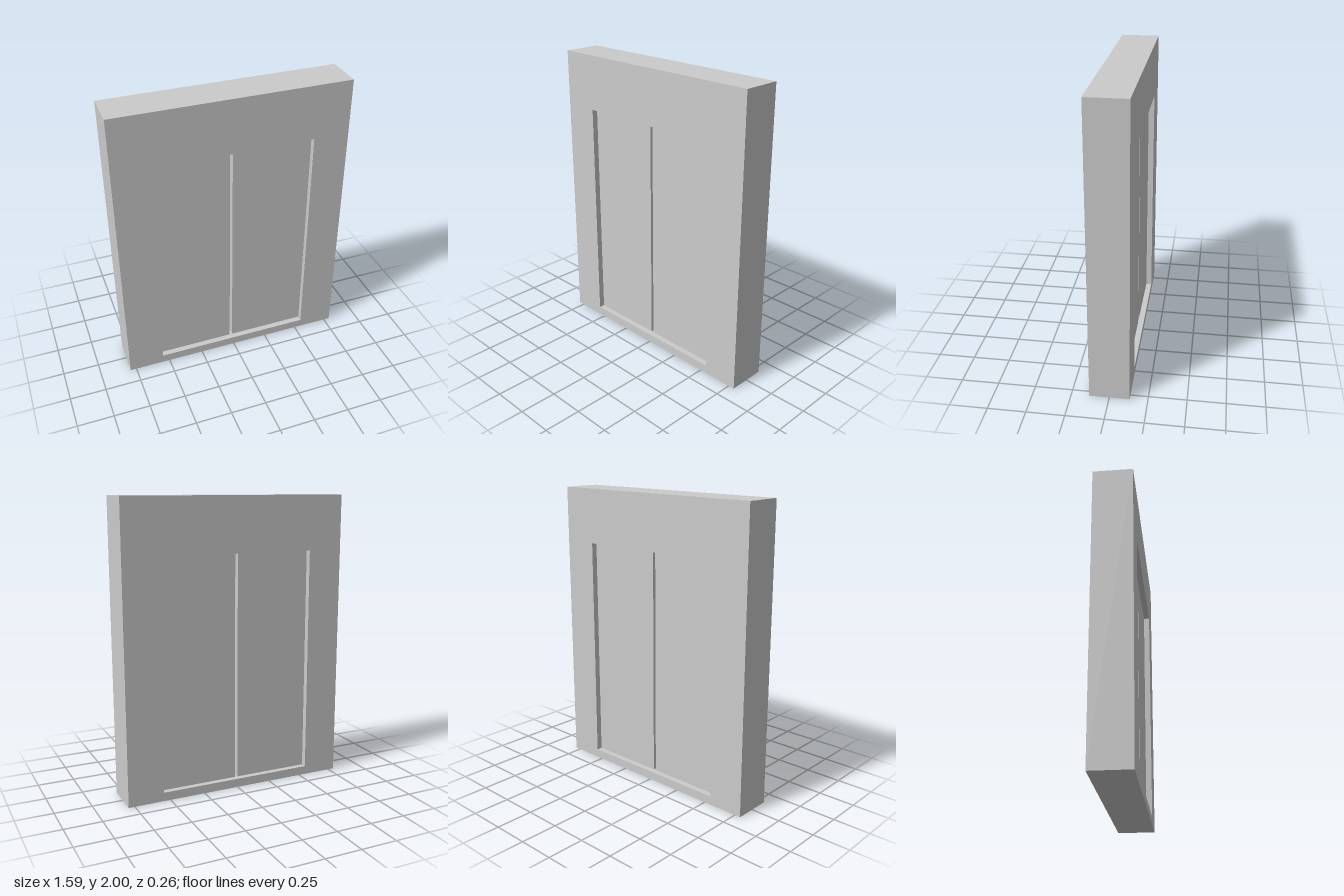
import * as THREE from 'three';

const WIDTH = 1.585, HEIGHT = 2, DEPTH = 0.264;       // wall block
const HALF_OPENING = 0.547, SILL = 0.06, LINTEL = 1.625; // doorway
const DOOR_DEPTH = 0.184;                             // leaves set back on both faces
const GAP_LEFT = -0.018, GAP_RIGHT = 0.001;           // slit between the leaves

function rectangle(target, x0, y0, x1, y1) {
  target.moveTo(x0, y0);
  target.lineTo(x1, y0);
  target.lineTo(x1, y1);
  target.lineTo(x0, y1);
  target.closePath();
  return target;
}

export function createModel() {
  const group = new THREE.Group();
  group.name = 'doubleDoor';
  const material = new THREE.MeshStandardMaterial({ color: 0xcccccc, flatShading: true });

  // Wall frame with a rectangular doorway cut through it
  const outline = rectangle(new THREE.Shape(), -WIDTH / 2, 0, WIDTH / 2, HEIGHT);
  outline.holes.push(rectangle(new THREE.Path(), -HALF_OPENING, SILL, HALF_OPENING, LINTEL));
  const frameGeometry = new THREE.ExtrudeGeometry(outline, { depth: DEPTH, bevelEnabled: false });
  frameGeometry.translate(0, 0, -DEPTH / 2);
  const frame = new THREE.Mesh(frameGeometry, material);
  frame.name = 'frame';
  group.add(frame);

  // Two sliding leaves with a narrow slit between them
  const addLeaf = (name, x0, x1) => {
    const leaf = new THREE.Mesh(new THREE.BoxGeometry(x1 - x0, LINTEL - SILL, DOOR_DEPTH), material);
    leaf.position.set((x0 + x1) / 2, (SILL + LINTEL) / 2, 0);
    leaf.name = name;
    group.add(leaf);
  };
  addLeaf('rightDoor', -HALF_OPENING, GAP_LEFT);
  addLeaf('leftDoor', GAP_RIGHT, HALF_OPENING);

  return group;
}
